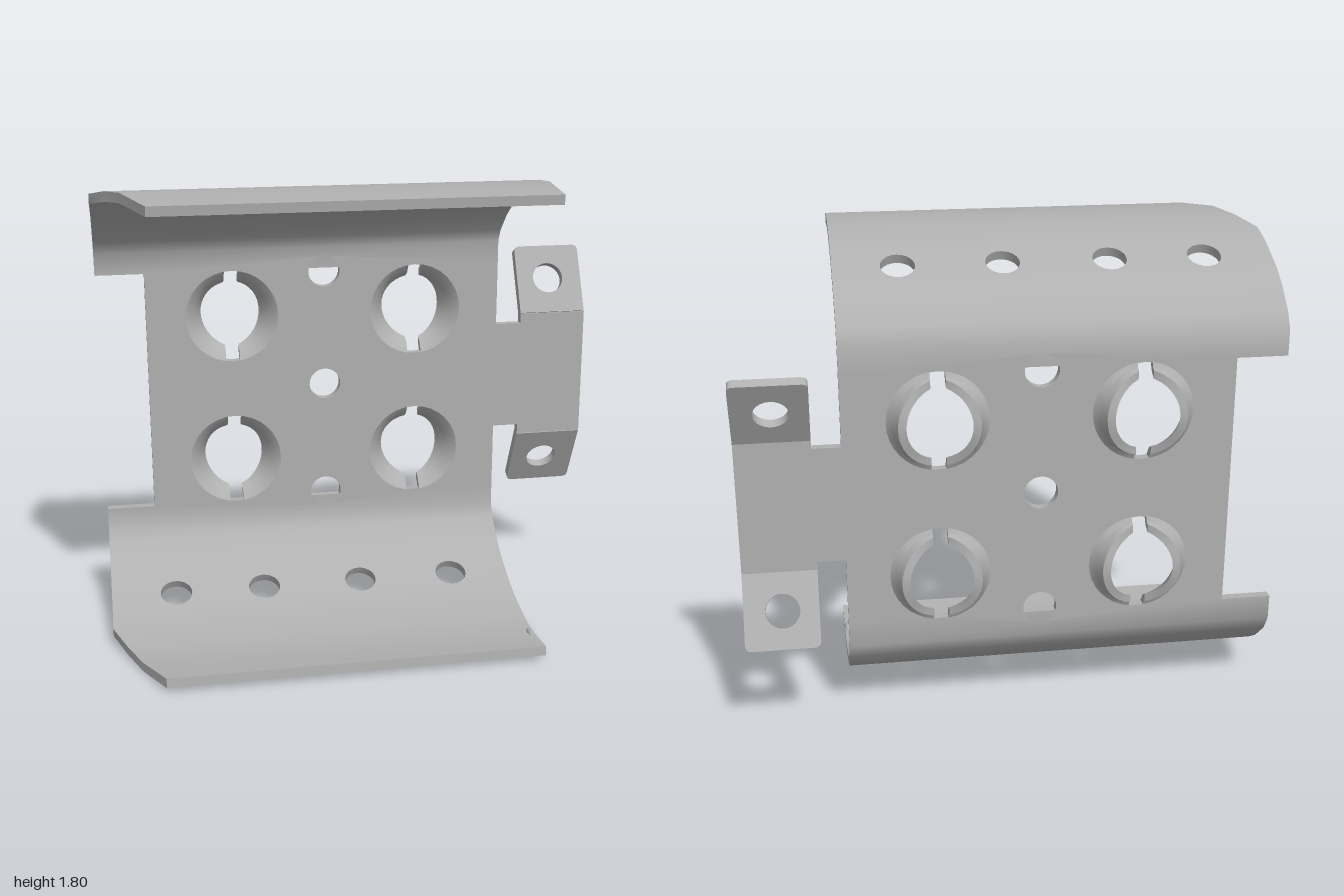
import * as THREE from 'three';
import { mergeGeometries, toCreasedNormals } from 'three/addons/utils/BufferGeometryUtils.js';

const T = 0.036;          // sheet thickness
const ZC = -0.35;         // middle of the back plate
const YC = 0.9;           // mirror height
const HOLE = 0.063;       // radius of the plain holes
const CREASE = 0.6;

const steel = new THREE.MeshStandardMaterial({ color: 0xb0b0b0 });
steel.name = 'grey steel';

function polygon(points) {
  return new THREE.Shape(points.map(([x, y]) => new THREE.Vector2(x, y)));
}

function addHole(shape, x, y, r) {
  const path = new THREE.Path();
  path.absarc(x, y, r, 0, Math.PI * 2, true);
  shape.holes.push(path);
}

function extrude(shape, depth, steps = 1, curveSegments = 12) {
  return new THREE.ExtrudeGeometry(shape, { depth, steps, curveSegments, bevelEnabled: false });
}

// Move every vertex by a rule
function warp(geometry, rule) {
  const p = geometry.attributes.position;
  for (let i = 0; i < p.count; i++) p.setXYZ(i, ...rule(p.getX(i), p.getY(i), p.getZ(i)));
  return geometry;
}

// Mirror top to bottom, keeping the faces outward
function mirrorY(source) {
  const g = warp(source.clone(), (x, y, z) => [x, 2 * YC - y, z]);
  const a = g.attributes.position.array;
  for (let i = 0; i < a.length; i += 9) {
    for (let k = 3; k < 6; k++) [a[i + k], a[i + k + 3]] = [a[i + k + 3], a[i + k]];
  }
  return g;
}

function part(name, geometry) {
  geometry.computeVertexNormals();
  const mesh = new THREE.Mesh(toCreasedNormals(geometry, CREASE), steel);
  mesh.name = name;
  return mesh;
}

// Curved wing: flat strips bent along a centreline of [z, y] stations
function wingGeometry() {
  const line = [
    [-0.35, 1.385], [-0.35, 1.475], [-0.318, 1.53], [-0.23, 1.61], [-0.16, 1.655],
    [-0.03, 1.715], [0.07, 1.745], [0.19, 1.77], [0.31, 1.781], [0.49, 1.761],
  ].map(([z, y]) => new THREE.Vector2(z, y));
  const normals = line.map((p, i) => {
    const t = line[Math.min(i + 1, line.length - 1)].clone().sub(p).normalize();
    if (i > 0) t.add(p.clone().sub(line[i - 1]).normalize()).normalize();
    return new THREE.Vector2(-t.y, t.x);
  });
  const leftEdge = (z) => -1 + Math.max(0, z - 0.07) * 0.44;

  const strips = [];
  for (let i = 0; i < line.length - 1; i++) {
    const a = line[i], b = line[i + 1], len = a.distanceTo(b);
    const shape = polygon([[leftEdge(a.x), 0], [0.62, 0], [0.62, len], [leftEdge(b.x), len]]);
    if (i === 4) for (const x of [-0.745, -0.39, 0.005, 0.385]) addHole(shape, x, len / 2, HOLE);
    strips.push(warp(extrude(shape, 1), (x, s, d) => {
      const p = a.clone().lerp(b, s / len);
      const n = normals[i].clone().lerp(normals[i + 1], s / len);
      p.addScaledVector(n, (0.5 - d) * T);
      return [x, p.y, p.x];
    }));
  }
  return mergeGeometries(strips);
}

// Bent ear of the side tab
function earGeometry() {
  const x0 = 0.725, x1 = 0.998, len = 0.285, r = 0.025;
  const shape = new THREE.Shape();
  shape.moveTo(x0, 0);
  shape.lineTo(x1, 0);
  shape.lineTo(x1, len - r);
  shape.quadraticCurveTo(x1, len, x1 - r, len);
  shape.lineTo(x0 + r, len);
  shape.quadraticCurveTo(x0, len, x0, len - r);
  addHole(shape, 0.857, 0.146, HOLE);
  return extrude(shape, T).translate(0, 0, -T / 2).rotateX(-0.47).translate(0, 1.155, ZC);
}

// Half of a drawn collar: tall at the side, low next to the slot
function collarGeometry() {
  const gap = 0.0275, back = ZC - T / 2;
  const section = polygon([[0.186, -1], [0.186, 0], [0.17, 0.3], [0.168, 1], [0.138, 1], [0.147, -0.2]]);
  return warp(extrude(section, 2, 16).translate(0, 0, -1), (u, v, w) => {
    const h = 0.012 + 0.06 * Math.cos(w * 1.4);
    const r = u - (v > 0 ? 0.28 * h * v : 0);
    const angle = w * Math.acos(gap / r);
    return [r * Math.cos(angle), r * Math.sin(angle), back - v * (v > 0 ? h : T)];
  });
}

export function createModel() {
  const model = new THREE.Group();
  model.name = 'bracket';

  // Back plate with neck and side tab
  const upper = [[0.62, 1.385], [0.62, 1.12], [0.725, 1.12], [0.725, 1.16], [0.998, 1.16]];
  const lower = upper.map(([x, y]) => [x, 2 * YC - y]).reverse();
  const outline = polygon([[-0.81, 1.385], [-0.81, 0.415], ...lower.reverse(), ...upper.reverse()]);
  const centres = [];
  for (const x of [-0.47, 0.275]) for (const y of [0.6, 1.2]) centres.push([x, y]);
  for (const [x, y] of centres) addHole(outline, x, y, 0.185);
  for (const y of [0.435, 0.903, 1.37]) addHole(outline, -0.098, y, HOLE);
  model.add(part('backPlate', extrude(outline, T, 1, 16).translate(0, 0, ZC - T / 2)));

  // Wings and tab ears, top and bottom
  const wing = wingGeometry();
  model.add(part('upperWing', wing), part('lowerWing', mirrorY(wing)));
  const ear = earGeometry();
  model.add(part('upperEar', ear), part('lowerEar', mirrorY(ear)));

  // Slotted collars, two halves each
  const half = collarGeometry();
  for (const [x, y] of centres) {
    const collar = new THREE.Group();
    collar.name = 'collar';
    for (const turn of [0, Math.PI]) {
      const mesh = part('collarHalf', half.clone());
      mesh.rotation.z = turn;
      collar.add(mesh);
    }
    collar.position.set(x, y, 0);
    model.add(collar);
  }

  // Small nubs on the inner wing edges
  for (const y of [1.764, 2 * YC - 1.764]) {
    const nub = new THREE.Mesh(new THREE.SphereGeometry(1, 12, 8), steel);
    nub.name = 'nub';
    nub.scale.set(0.014, 0.016, 0.036);
    nub.position.set(0.607, y, 0.33);
    model.add(nub);
  }
  return model;
}
